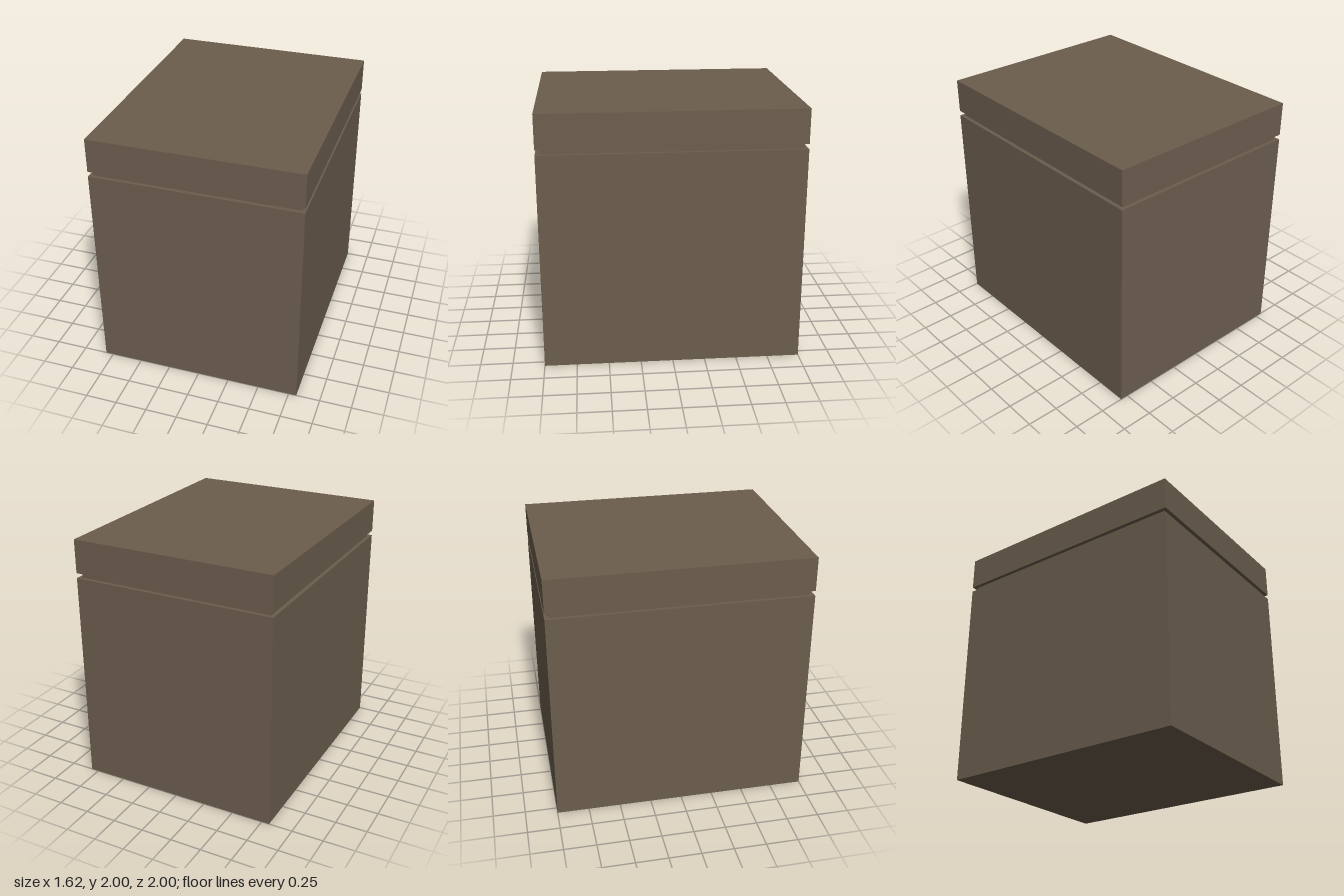
import * as THREE from 'three';

const material = new THREE.MeshStandardMaterial({ color: 0x6b5d4d });

// Box centred on x and z, spanning y from bottom to top
function slab(name, width, depth, bottom, top) {
  const mesh = new THREE.Mesh(new THREE.BoxGeometry(width, top - bottom, depth), material);
  mesh.name = name;
  mesh.position.y = (bottom + top) / 2;
  return mesh;
}

export function createModel() {
  const group = new THREE.Group();
  group.name = 'liddedBox';
  group.add(
    slab('body', 1.624, 2, 0, 1.695),
    // Recessed band that leaves a shadow gap below the lid
    slab('recessedNeck', 1.564, 1.94, 1.695, 1.735),
    slab('lid', 1.624, 2, 1.735, 2),
  );
  return group;
}
